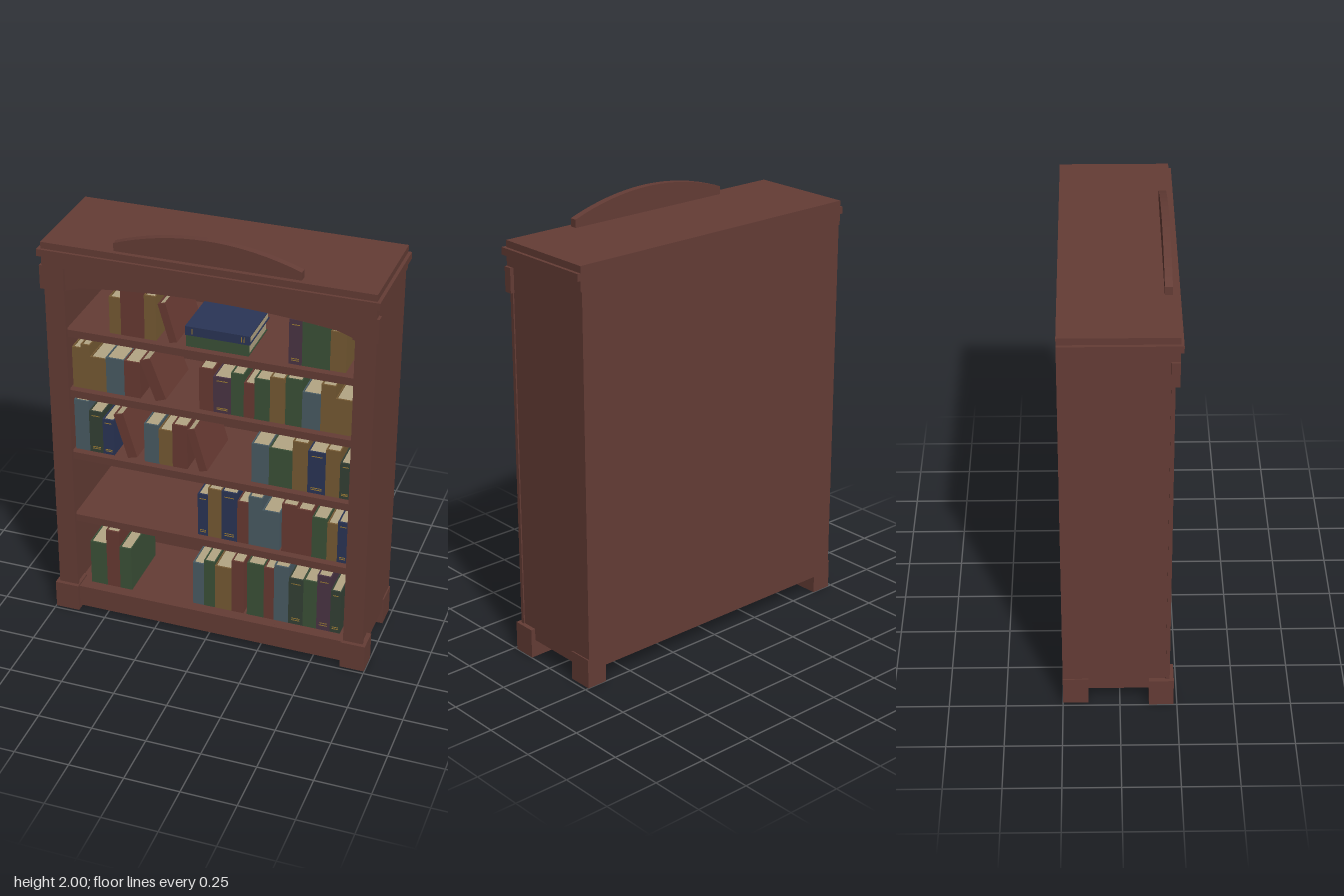
import * as THREE from 'three';

const mat = (name, color) => {
  const m = new THREE.MeshStandardMaterial({ color });
  m.name = name;
  return m;
};

const M = {
  wood: mat('wood', 0x643c35),
  red: mat('red leather', 0x673a32),
  ochre: mat('ochre cloth', 0x765a33),
  green: mat('green cloth', 0x3b5037),
  forest: mat('dark green cloth', 0x334035),
  navy: mat('navy cloth', 0x2a3556),
  slate: mat('slate cloth', 0x495b63),
  plum: mat('plum cloth', 0x4a3444),
  paper: mat('paper', 0xb3a584),
  gold: mat('gold', 0x9a7a34),
};

// Box given by its minimum and maximum along each axis
function box(parent, name, material, x0, x1, y0, y1, z0, z1) {
  const mesh = new THREE.Mesh(new THREE.BoxGeometry(x1 - x0, y1 - y0, z1 - z0), material);
  mesh.position.set((x0 + x1) / 2, (y0 + y1) / 2, (z0 + z1) / 2);
  mesh.name = name;
  parent.add(mesh);
  return mesh;
}

function extrude(parent, name, shape, z0, depth) {
  const geo = new THREE.ExtrudeGeometry(shape, { depth, bevelEnabled: false, curveSegments: 16 });
  const mesh = new THREE.Mesh(geo, M.wood);
  mesh.position.z = z0;
  mesh.name = name;
  parent.add(mesh);
}

const FRONT = 0.165; // plane of the book spines

// One book, its lower left spine corner at (x, y), turned by angle in the front plane
function book(parent, colour, x, y, w, h, depth, angle = 0) {
  const g = new THREE.Group();
  g.name = 'book';
  const c = M[colour], t = 0.005, back = -depth;
  box(g, 'spine', c, 0, w, 0, h, -0.008, 0);
  box(g, 'leftCover', c, 0, t, 0, h, back, -0.008);
  box(g, 'rightCover', c, w - t, w, 0, h, back, -0.008);
  box(g, 'pages', M.paper, t, w - t, 0.004, h - 0.006, back + 0.006, -0.008);
  // gilt bands near both ends of the spine
  if (['navy', 'forest', 'plum'].includes(colour)) {
    for (const k of [0.08, 0.12, 0.88]) {
      box(g, 'giltBand', M.gold, w * 0.2, w * 0.8, h * k, h * k + 0.004, 0, 0.001);
    }
  }
  g.position.set(x, y, FRONT);
  g.rotation.z = angle;
  parent.add(g);
}

// Rows of upright books: shelf height, start x, then [colour, width, height] in hundredths
const ROWS = [
  [1.47, -0.46, [['ochre', 5.3, 17.5], ['red', 5.8, 21.8], ['red', 5, 22.8], ['ochre', 5.3, 21]]],
  [1.47, 0.345, [['plum', 5.8, 21], ['green', 6.4, 20.7], ['green', 5.8, 20], ['ochre', 6.9, 18.6]]],
  [1.17, -0.642, [['ochre', 4.2, 20], ['ochre', 4.2, 22], ['ochre', 7.4, 16.5], ['slate', 8.5, 17.5],
    ['red', 7.4, 17.5]]],
  [1.17, -0.053, [['red', 6.4, 20.7], ['plum', 8, 17.5], ['green', 5.8, 20.7], ['red', 4.8, 17],
    ['green', 6.9, 20], ['ochre', 6.4, 22], ['gap', 0.5], ['green', 7.4, 22.8], ['slate', 8.2, 17.5],
    ['ochre', 6.4, 22.8], ['ochre', 8, 17]]],
  [0.85, -0.643, [['slate', 6.9, 25.5], ['forest', 6.4, 21], ['navy', 5.3, 18]]],
  [0.85, -0.313, [['slate', 6.9, 19.6], ['ochre', 6.4, 18], ['red', 6.9, 21.8]]],
  [0.85, 0.186, [['slate', 8, 19.6], ['green', 10.6, 19], ['ochre', 6.9, 24.4], ['navy', 8, 21],
    ['ochre', 6.4, 23.3], ['forest', 4.8, 18]]],
  [0.515, -0.064, [['navy', 4.8, 21.8], ['ochre', 6.4, 25.5], ['navy', 7.4, 25.5], ['red', 5.3, 21.8],
    ['slate', 6.4, 25.5], ['slate', 8, 19.6], ['gap', 1], ['red', 7, 25], ['red', 6.9, 23.9],
    ['green', 6.9, 21.2], ['ochre', 4.8, 19.6], ['navy', 4.8, 21.2]]],
  [0.127, -0.594, [['green', 8, 22.8], ['red', 6.4, 30.8], ['green', 5.8, 22.8]]],
  [0.127, -0.09, [['slate', 5.3, 22.8], ['green', 5.3, 25], ['ochre', 8, 23.3], ['red', 5.8, 28],
    ['gap', 1.6], ['green', 8, 28.6], ['red', 4.8, 28], ['slate', 6.9, 30.2], ['forest', 6.9, 25],
    ['green', 6.4, 25.5], ['plum', 6.4, 29.7], ['forest', 4.8, 22.8]]],
];

export function createModel() {
  const model = new THREE.Group();
  model.name = 'bookcase';
  const wood = (name, ...b) => box(model, name, M.wood, ...b);

  // Carcass
  wood('backPanel', -0.725, 0.725, 0.08, 1.8, -0.25, -0.235);
  wood('baseBoard', -0.65, 0.65, 0.08, 0.127, -0.235, 0.2);
  wood('plinthRail', -0.64, 0.64, 0.02, 0.127, 0.195, 0.217);
  for (const top of [0.515, 0.85, 1.17, 1.47]) {
    wood('shelf', -0.65, 0.65, top - 0.035, top, -0.235, 0.198);
  }

  // Sides, stiles, capitals and feet, mirrored
  for (const s of [-1, 1]) {
    const side = (name, a, b, ...rest) => wood(name, Math.min(s * a, s * b), Math.max(s * a, s * b), ...rest);
    side('sidePanel', 0.65, 0.727, 0.08, 1.8, -0.25, 0.2);
    side('stile', 0.642, 0.733, 0.08, 1.78, 0.2, 0.217);
    side('capital', 0.635, 0.745, 1.67, 1.78, 0.198, 0.235);
    side('frontFoot', 0.635, 0.748, 0, 0.135, 0.127, 0.235);
    side('backFoot', 0.635, 0.733, 0, 0.135, -0.25, -0.138);
  }

  // Arched rail above the opening
  const arch = new THREE.Shape();
  arch.moveTo(-0.642, 1.78);
  arch.lineTo(-0.642, 1.665);
  arch.lineTo(-0.57, 1.69);
  arch.quadraticCurveTo(0, 1.764, 0.57, 1.69);
  arch.lineTo(0.642, 1.665);
  arch.lineTo(0.642, 1.78);
  extrude(model, 'archedRail', arch, 0.198, 0.019);

  // Stepped cornice
  wood('frieze', -0.733, 0.733, 1.78, 1.83, -0.25, 0.235);
  wood('corniceMoulding', -0.748, 0.748, 1.828, 1.86, -0.25, 0.248);
  wood('topBoard', -0.733, 0.733, 1.86, 1.89, -0.25, 0.235);

  // Curved pediment
  const crest = new THREE.Shape();
  crest.moveTo(-0.41, 1.888);
  crest.lineTo(0.41, 1.888);
  crest.lineTo(0.41, 1.926);
  crest.quadraticCurveTo(0, 2.074, -0.41, 1.926);
  extrude(model, 'pediment', crest, 0.182, 0.032);

  // Upright books
  const books = new THREE.Group();
  books.name = 'books';
  for (const [y, start, row] of ROWS) {
    let x = start;
    for (const [colour, w, h] of row) {
      if (colour !== 'gap') book(books, colour, x, y, w / 100, h / 100, 0.22 + h * 0.0035);
      x += w / 100;
    }
  }

  // Leaning books: x, y, width, height, angle
  for (const [x, y, w, h, a] of [
    [-0.186, 1.47, 0.036, 0.185, 0.28], [-0.255, 1.17, 0.052, 0.2, 0.36],
    [-0.393, 0.85, 0.047, 0.22, 0.29], [-0.055, 0.85, 0.038, 0.21, 0.28],
  ]) book(books, 'red', x, y, w, h, 0.28, a);

  // Two books lying flat
  book(books, 'green', 0.17, 1.47, 0.053, 0.28, 0.25, Math.PI / 2);
  book(books, 'navy', 0.175, 1.523, 0.042, 0.29, 0.26, Math.PI / 2);
  model.add(books);

  return model;
}
